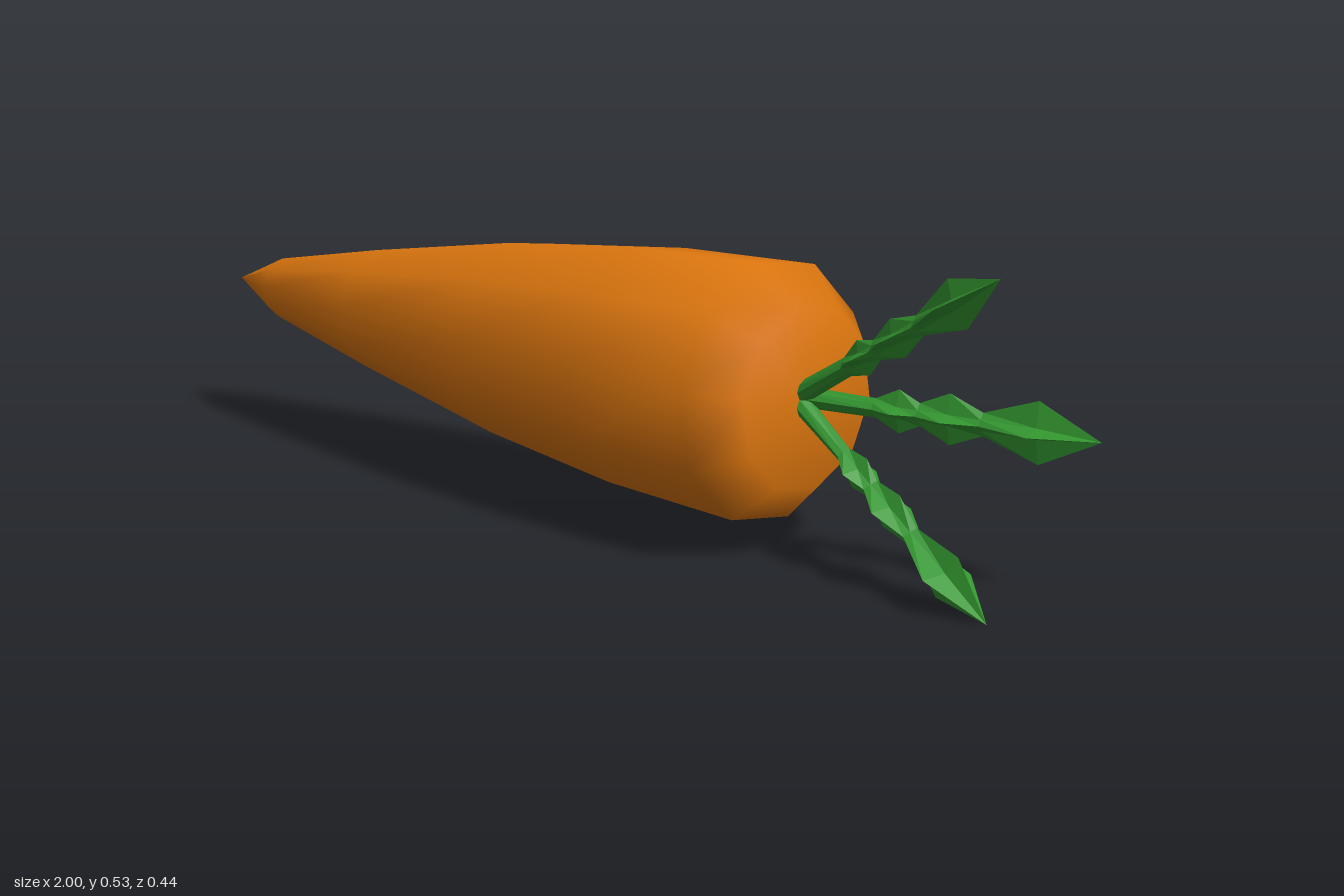
import * as THREE from 'three';

const AXIS_Y = 0.267;

// One frond: a four-ridged star section swept from base to tip.
// Each station is [fraction of length, half width, half depth, valley offset].
const STATIONS = [
  [0, 0.018, 0.018, 0.012],
  [0.26, 0.016, 0.016, 0.009],
  [0.34, 0.036, 0.03, 0.009],
  [0.41, 0.019, 0.017, 0.009],
  [0.51, 0.042, 0.033, 0.009],
  [0.62, 0.019, 0.017, 0.009],
  [0.8, 0.051, 0.042, 0.009],
  [1, 0, 0, 0],
];

function frondGeometry(length) {
  const rings = STATIONS.map(([f, w, d, v]) => [
    [w, 0], [v, v], [0, d], [-v, v], [-w, 0], [-v, -v], [0, -d], [v, -v],
  ].map(([x, z]) => [x, f * length, z]));
  const pos = [];
  for (let i = 0; i < rings.length - 1; i++) {
    for (let j = 0; j < 8; j++) {
      const k = (j + 1) % 8;
      const a = rings[i][j], b = rings[i + 1][j], c = rings[i][k], d = rings[i + 1][k];
      pos.push(...a, ...b, ...c);
      if (i < rings.length - 2) pos.push(...b, ...d, ...c);
    }
  }
  const g = new THREE.BufferGeometry();
  g.setAttribute('position', new THREE.Float32BufferAttribute(pos, 3));
  g.computeVertexNormals();
  return g;
}

export function createModel() {
  const orange = new THREE.MeshStandardMaterial({ color: 0xe0780f });
  orange.name = 'carrot orange';
  const green = new THREE.MeshStandardMaterial({ color: 0x339630 });
  green.name = 'leaf green';

  const model = new THREE.Group();
  model.name = 'carrot';

  // Ten-sided root, turned about the long axis and laid along x
  const profile = [
    [0, -1], [0.058, -0.86], [0.114, -0.57], [0.177, -0.2],
    [0.211, 0.11], [0.222, 0.4], [0.155, 0.475], [0, 0.475],
  ].map(([r, y]) => new THREE.Vector2(r, y));
  const rootGeometry = new THREE.LatheGeometry(profile, 10, THREE.MathUtils.degToRad(-8));
  rootGeometry.rotateZ(-Math.PI / 2);
  const root = new THREE.Mesh(rootGeometry, orange);
  root.name = 'root';
  root.position.y = AXIS_Y;
  model.add(root);

  // Three fronds fanning out of the crown: name, base, tip, width direction
  const fronds = [
    ['upperFrond', [0.46, 0.272, 0.006], [0.92, 0.535, 0.073], [0, 0, 1]],
    ['lowerFrond', [0.46, 0.264, 0.006], [0.92, 0.001, 0.085], [0, 0, 1]],
    ['middleFrond', [0.46, 0.269, 0], [0.995, 0.269, -0.09], [0, 1, 0]],
  ];
  for (const [name, from, to, across] of fronds) {
    const base = new THREE.Vector3(...from);
    const along = new THREE.Vector3(...to).sub(base);
    const length = along.length();
    along.normalize();
    const depth = new THREE.Vector3(...across).cross(along).normalize();
    const width = along.clone().cross(depth);
    const frond = new THREE.Mesh(frondGeometry(length), green);
    frond.name = name;
    frond.quaternion.setFromRotationMatrix(new THREE.Matrix4().makeBasis(width, along, depth));
    frond.position.copy(base);
    model.add(frond);
  }
  return model;
}
